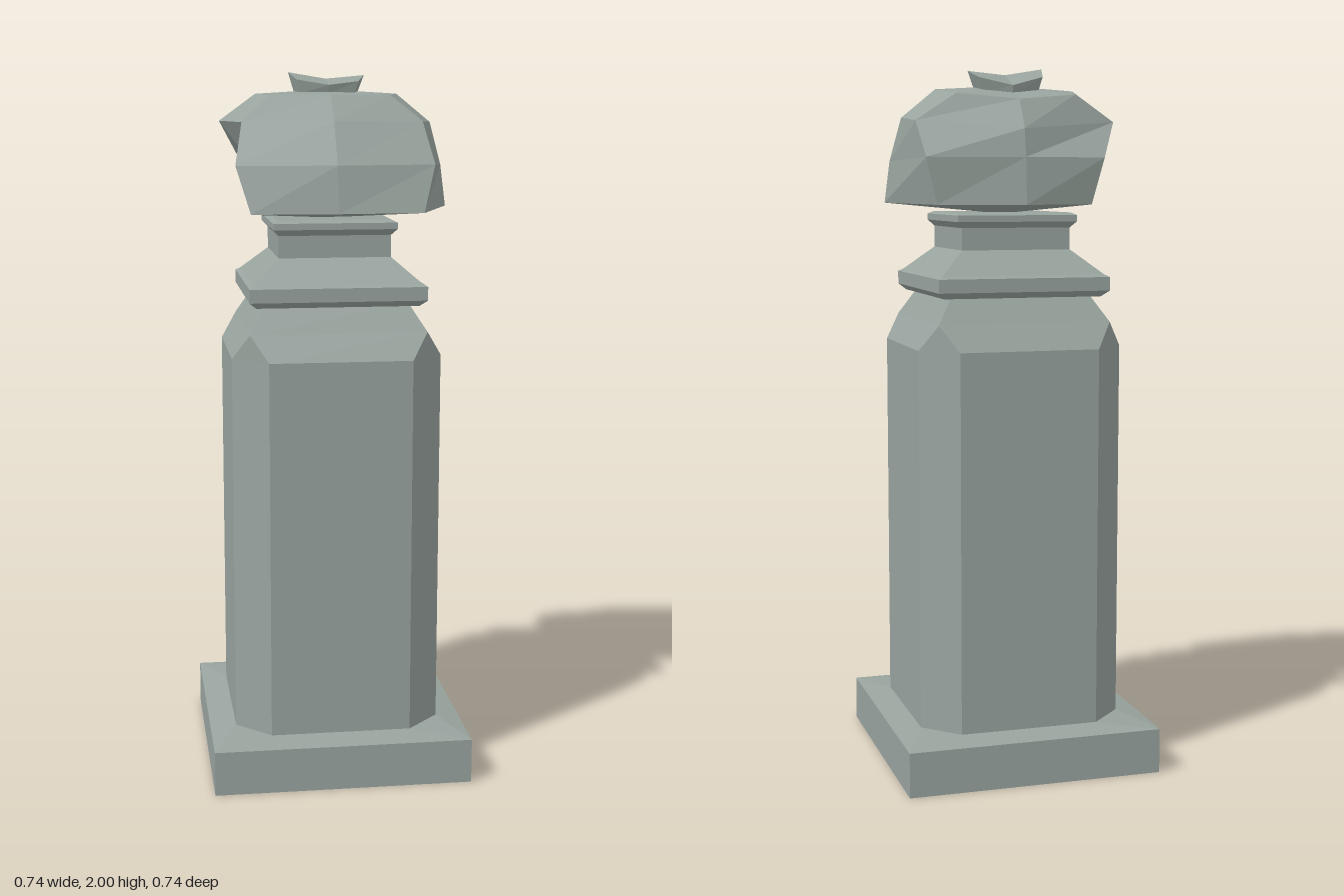
import * as THREE from 'three';

const stone = new THREE.MeshStandardMaterial({ color: 0x98a39e });
stone.name = 'weathered stone';

// Skins a stack of eight-point rings, bottom to top, with flat facets
function loft(name, rings) {
  const pos = [];
  const tri = (...pts) => {
    const [a, b, c] = pts.map((p) => new THREE.Vector3(...p));
    if (b.clone().sub(a).cross(c.clone().sub(a)).lengthSq() < 1e-12) return;
    for (const p of pts) pos.push(...p);
  };
  for (let i = 0; i < rings.length - 1; i++) {
    for (let j = 0; j < 8; j++) {
      const k = (j + 1) % 8;
      const [a, b, c, d] = [rings[i][j], rings[i][k], rings[i + 1][k], rings[i + 1][j]];
      tri(a, b, c);
      tri(a, c, d);
    }
  }
  const geo = new THREE.BufferGeometry();
  geo.setAttribute('position', new THREE.Float32BufferAttribute(pos, 3));
  geo.computeVertexNormals();
  const mesh = new THREE.Mesh(geo, stone);
  mesh.name = name;
  return mesh;
}

// Square ring of half width h; c < h cuts the corners off
const square = (y, h, c = h) => [
  [-c, h], [c, h], [h, c], [h, -c], [c, -h], [-c, -h], [-h, -c], [-h, c],
].map(([x, z]) => [x, y, z]);

const point = (x, y, z) => Array.from({ length: 8 }, () => [x, y, z]);

export function createModel() {
  const model = new THREE.Group();
  model.name = 'stonePost';

  // Square plinth with a slightly sloped top
  model.add(loft('plinth', [
    square(0, 0), square(0, 0.368), square(0.128, 0.368), square(0.142, 0.295, 0.2),
  ]));

  // Chamfered shaft whose sloped shoulders run the chamfers out to a point
  model.add(loft('shaft', [
    square(0.14, 0.295, 0.2), square(1.22, 0.295, 0.2),
    square(1.292, 0.248), square(1.37, 0.2), square(1.37, 0),
  ]));

  // Stepped collar and neck
  model.add(loft('collar', [
    square(1.363, 0), square(1.363, 0.228), square(1.38, 0.248), square(1.418, 0.248),
    square(1.425, 0.235), square(1.493, 0.158), square(1.555, 0.158),
    square(1.572, 0.174), square(1.59, 0.174), square(1.597, 0.16), square(1.597, 0),
  ]));

  // Lopsided head; columns run front, left, back, right, with the right side caved in
  model.add(loft('head', [
    point(0, 1.592, 0),
    [[0, 1.62, 0.237], [0.24, 1.62, 0.225], [0.338, 1.624, 0.02], [0.24, 1.62, -0.205],
      [0, 1.62, -0.258], [-0.2, 1.62, -0.225], [-0.19, 1.62, 0], [-0.24, 1.62, 0.225]],
    [[0, 1.75, 0.213], [0.276, 1.75, 0.185], [0.325, 1.74, 0.01], [0.272, 1.75, -0.21],
      [0, 1.75, -0.25], [-0.235, 1.75, -0.232], [-0.22, 1.75, 0], [-0.278, 1.75, 0.185]],
    [[0, 1.868, 0.137], [0.254, 1.865, 0.108], [0.302, 1.86, -0.04], [0.288, 1.85, -0.155],
      [0, 1.828, -0.236], [-0.288, 1.85, -0.152], [-0.306, 1.865, -0.04], [-0.254, 1.865, 0.108]],
    [[0, 1.938, 0.07], [0.17, 1.938, 0.055], [0.203, 1.94, -0.04], [0.172, 1.925, -0.15],
      [0, 1.91, -0.187], [-0.172, 1.925, -0.157], [-0.203, 1.94, -0.04], [-0.17, 1.938, 0.055]],
    point(0, 1.952, -0.05),
  ]));

  // Dished knob on the crown, raised at both sides
  model.add(loft('knob', [
    [[0, 1.94, 0.01], [0.075, 1.94, 0.01], [0.09, 1.94, -0.045], [0.08, 1.93, -0.1],
      [0, 1.92, -0.12], [-0.08, 1.93, -0.1], [-0.09, 1.94, -0.045], [-0.08, 1.94, 0.005]],
    [[0, 1.965, 0.018], [0.085, 1.975, 0.018], [0.11, 1.992, -0.045], [0.095, 1.972, -0.106],
      [0, 1.95, -0.125], [-0.092, 1.975, -0.108], [-0.108, 2, -0.045], [-0.09, 1.98, 0.01]],
    point(0, 1.982, -0.045),
  ]));

  return model;
}
